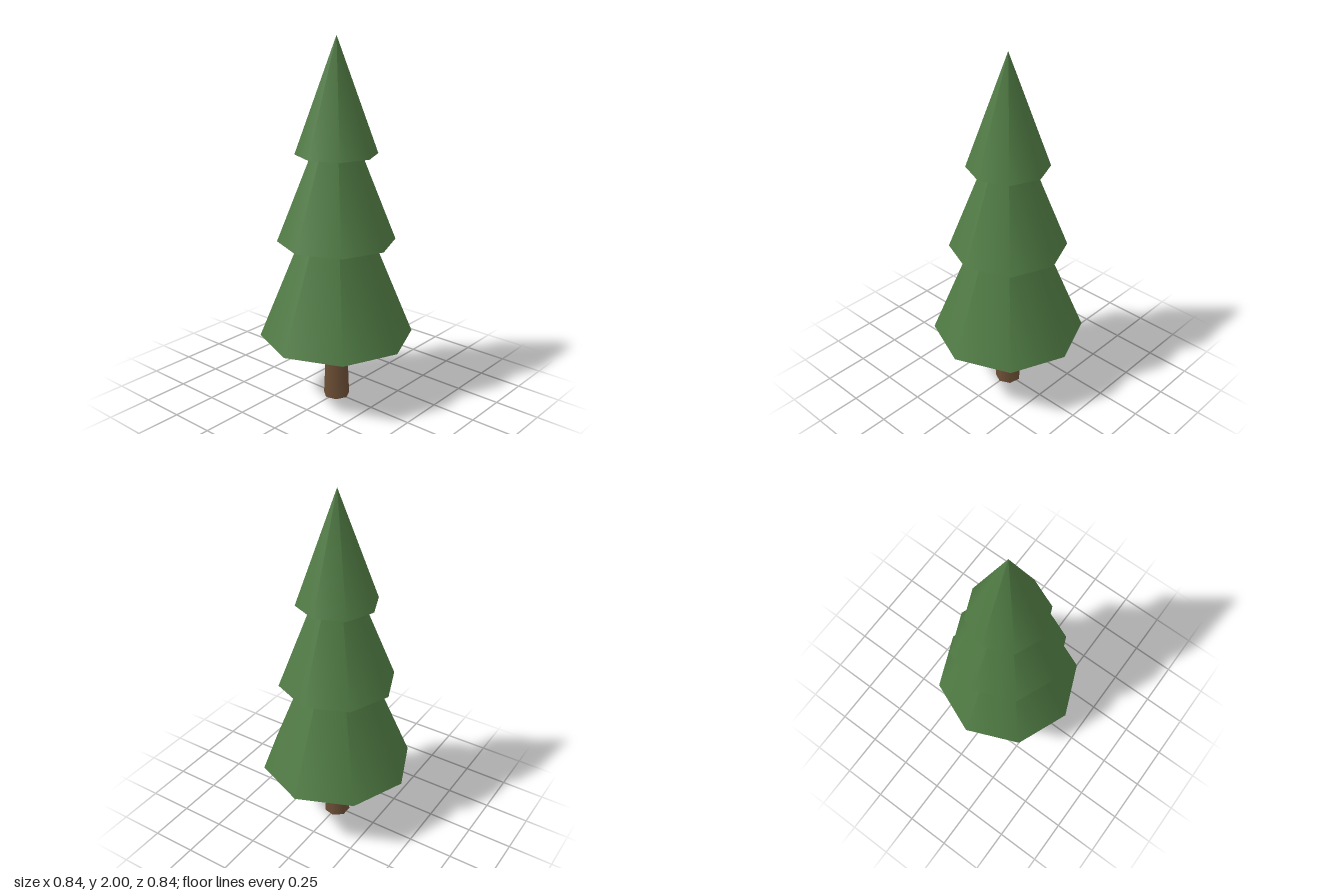
import * as THREE from 'three';

export function createModel() {
  const tree = new THREE.Group();
  tree.name = 'pineTree';

  const bark = new THREE.MeshStandardMaterial({ color: 0x6b4e35 });
  bark.name = 'bark brown';
  const needles = new THREE.MeshStandardMaterial({ color: 0x4f7a43 });
  needles.name = 'needle green';

  // Tapered seven-sided trunk, running up into the lowest tier
  const trunkHeight = 0.45;
  const trunk = new THREE.Mesh(new THREE.CylinderGeometry(0.054, 0.0735, trunkHeight, 7), bark);
  trunk.name = 'trunk';
  trunk.position.y = trunkHeight / 2;
  tree.add(trunk);

  // Overlapping eight-sided foliage cones, each closed underneath
  const tiers = [
    { name: 'lowerFoliage', radius: 0.422, base: 0.377, tip: 1.41 },
    { name: 'middleFoliage', radius: 0.32, base: 0.92, tip: 1.73 },
    { name: 'upperFoliage', radius: 0.22, base: 1.393, tip: 2 },
  ];
  for (const { name, radius, base, tip } of tiers) {
    const cone = new THREE.Mesh(new THREE.ConeGeometry(radius, tip - base, 8), needles);
    cone.name = name;
    cone.position.y = (base + tip) / 2;
    tree.add(cone);
  }

  return tree;
}
